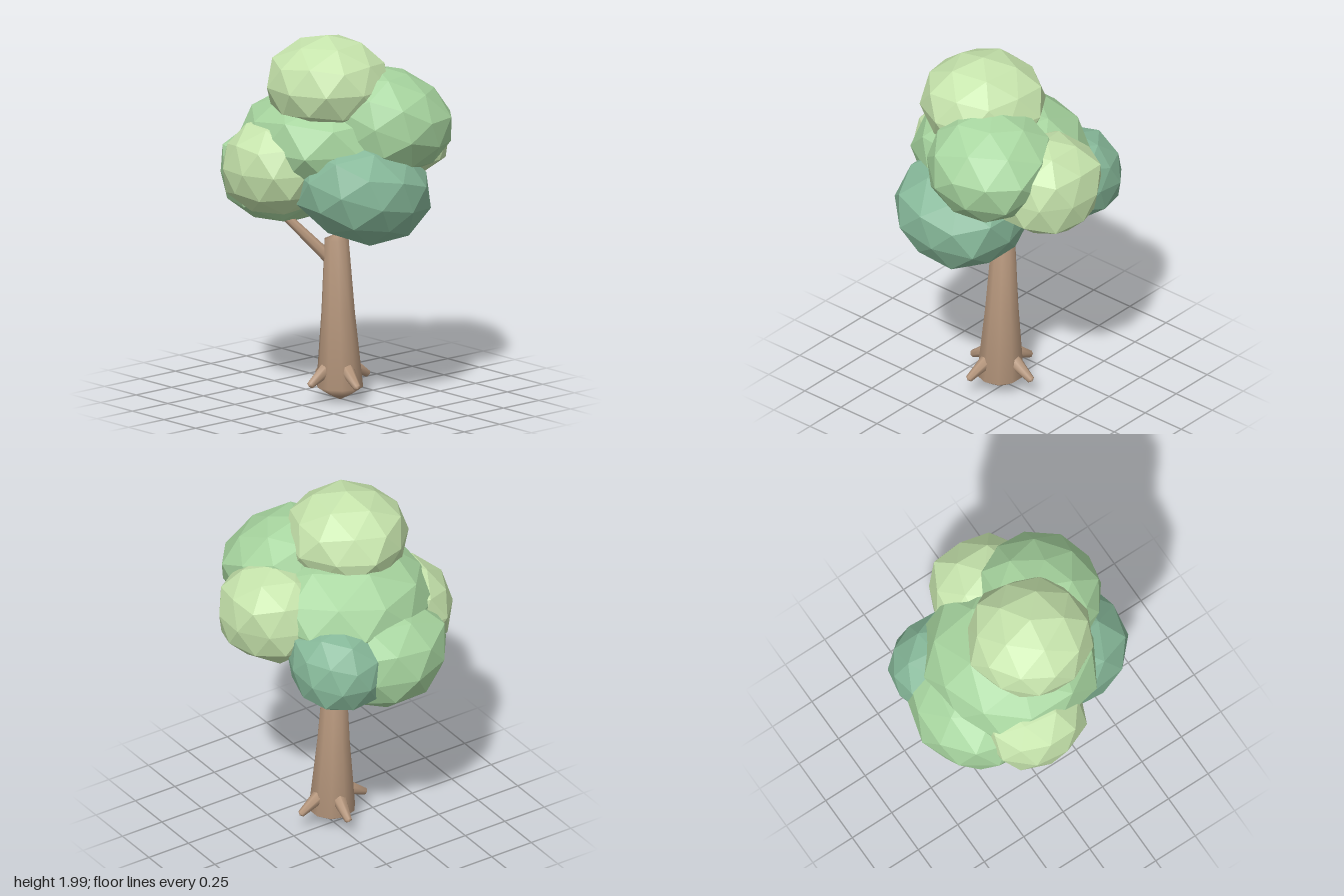
import * as THREE from 'three';

const COLORS = { bark: 0xb5967c, light: 0xc6e4ac, mid: 0xa7d59f, teal: 0x86b899 };

function mat(color, flatShading = false) {
  const m = new THREE.MeshStandardMaterial({ flatShading });
  m.color.set(color);
  return m;
}

// Low-poly leaf clump: icosphere, slightly squared by a power over 2, with a gentle wobble
function clump(name, color, [x, y, z], [rx, ry, rz], spin, power = 2.25, [pitch, roll] = [0, 0]) {
  const g = new THREE.IcosahedronGeometry(1, 1);
  g.rotateZ(-0.5536).rotateY(spin);
  const p = g.attributes.position, v = new THREE.Vector3();
  for (let i = 0; i < p.count; i++) {
    v.fromBufferAttribute(p, i);
    const sum = Math.abs(v.x) ** power + Math.abs(v.y) ** power + Math.abs(v.z) ** power;
    const wobble = Math.sin(5 * v.x + 7 * spin) * Math.cos(4 * v.z + 3 * v.y + spin);
    v.multiplyScalar((1 + 0.04 * wobble) / sum ** (1 / power));
    p.setXYZ(i, v.x, v.y, v.z);
  }
  g.scale(rx, ry, rz);
  const mesh = new THREE.Mesh(g, mat(color, true));
  mesh.name = name;
  mesh.position.set(x, y, z);
  mesh.rotation.set(pitch, 0, roll);
  return mesh;
}

// Tapered limb with a small rounded-off tip, running from a to b
function limb(name, a, b, r0, r1) {
  const from = new THREE.Vector3(...a), to = new THREE.Vector3(...b);
  const dir = to.clone().sub(from), len = dir.length();
  const profile = [[0, -0.01], [r0, 0], [r1, len - 0.01], [0, len]];
  const g = new THREE.LatheGeometry(profile.map(p => new THREE.Vector2(...p)), 7);
  const mesh = new THREE.Mesh(g, mat(COLORS.bark));
  mesh.name = name;
  mesh.position.copy(from);
  mesh.quaternion.setFromUnitVectors(new THREE.Vector3(0, 1, 0), dir.normalize());
  return mesh;
}

// Tapered trunk with pointed ends, leaning slightly backwards
function trunk() {
  const profile = [[0, 0.005], [0.06, 0.035], [0.126, 0.08], [0.09, 0.48], [0.065, 0.87], [0, 0.9]];
  const g = new THREE.LatheGeometry(profile.map(p => new THREE.Vector2(...p)), 10);
  const p = g.attributes.position;
  for (let i = 0; i < p.count; i++) {
    const y = p.getY(i);
    p.setX(i, p.getX(i) - 0.013);
    p.setZ(i, p.getZ(i) + 0.035 - 0.032 * y);
  }
  const mesh = new THREE.Mesh(g, mat(COLORS.bark));
  mesh.name = 'trunk';
  return mesh;
}

export function createModel() {
  const tree = new THREE.Group();
  tree.name = 'tree';

  tree.add(trunk());
  tree.add(limb('branch', [-0.02, 0.74, -0.01], [-0.24, 1.04, -0.22], 0.035, 0.022));

  // Four stubby roots around the base
  const roots = new THREE.Group();
  roots.name = 'roots';
  roots.add(
    limb('leftRoot', [0.06, 0.19, 0.02], [0.2, 0.105, 0.02], 0.042, 0.02),
    limb('rightRoot', [-0.08, 0.19, 0.02], [-0.22, 0.105, 0.02], 0.042, 0.02),
    limb('frontRoot', [-0.03, 0.19, 0.1], [-0.065, 0.105, 0.235], 0.042, 0.02),
    limb('backRoot', [0, 0.19, -0.04], [0.02, 0.105, -0.18], 0.042, 0.02),
  );
  tree.add(roots);

  // Overlapping leaf clumps
  const { light, mid, teal } = COLORS;
  const crown = new THREE.Group();
  crown.name = 'crown';
  crown.add(
    clump('coreLeaves', mid, [-0.045, 1.41, -0.03], [0.465, 0.295, 0.45], 0.3),
    clump('topLeaves', light, [-0.115, 1.735, 0.05], [0.335, 0.26, 0.34], 0.5, 2),
    clump('upperFrontLeaves', mid, [0.12, 1.55, 0.27], [0.335, 0.26, 0.33], 0.9, 2.25, [0.3, -0.25]),
    clump('lowerFrontLeaves', teal, [-0.07, 1.2, 0.265], [0.35, 0.27, 0.355], 0.2, 2.3, [0.2, -0.2]),
    clump('leftLeaves', light, [0.34, 1.415, 0.07], [0.28, 0.26, 0.29], 0.6, 2.4),
    clump('rightLeaves', light, [-0.34, 1.3, -0.1], [0.285, 0.255, 0.285], 1.1),
    clump('backLeaves', mid, [-0.09, 1.21, -0.3], [0.375, 0.28, 0.325], 0.7, 2.25, [-0.1, 0]),
    clump('backLeftLeaves', teal, [0.185, 1.23, -0.32], [0.255, 0.24, 0.275], 0.1, 2.2, [-0.15, 0]),
  );
  tree.add(crown);
  return tree;
}
